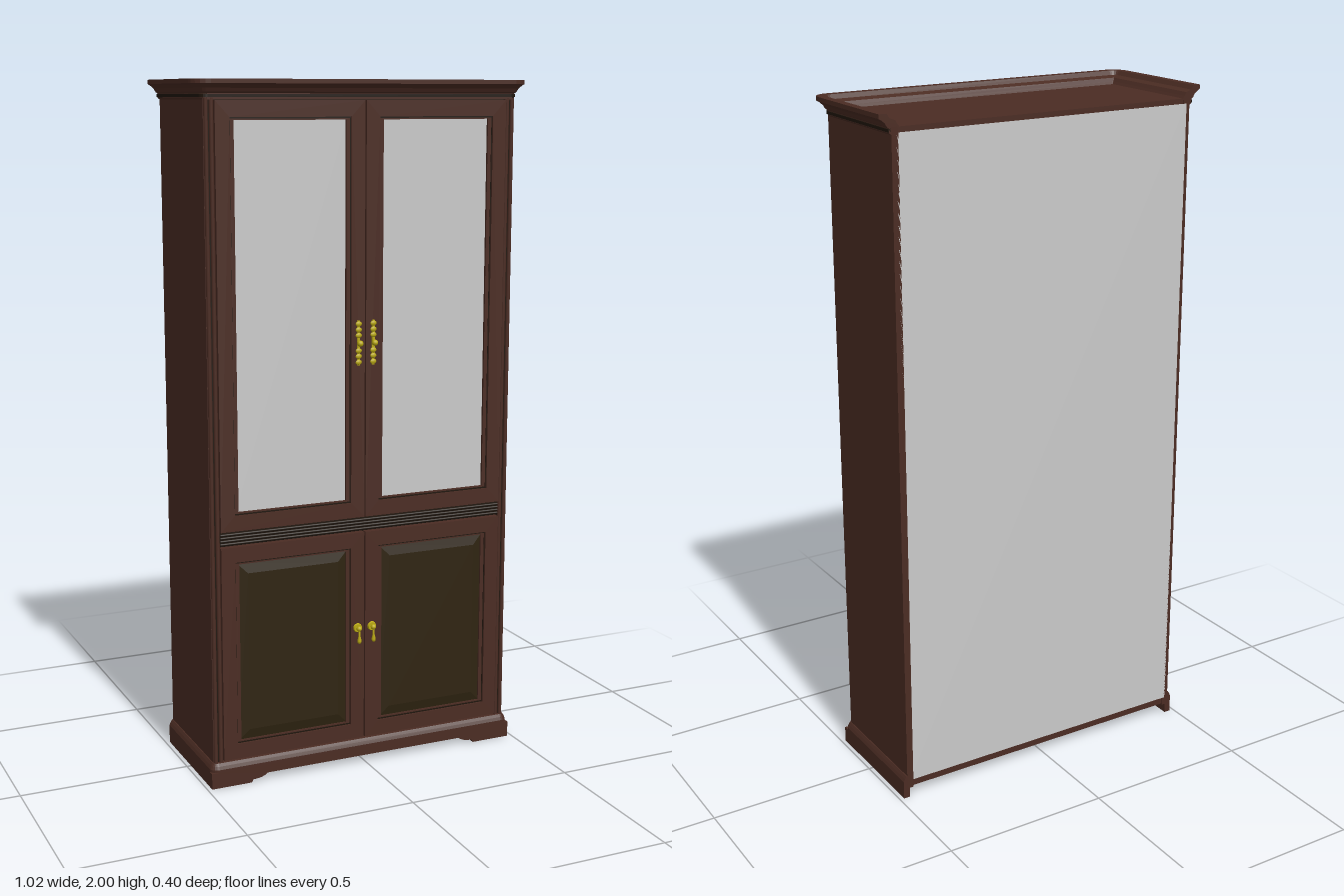
import * as THREE from 'three';

const mat = (name, color, side = THREE.FrontSide) => {
  const m = new THREE.MeshStandardMaterial({ color, side });
  m.name = name;
  return m;
};

export function createModel() {
  const wood = mat('wood', 0x4b2c23);
  const darkWood = mat('darkWood', 0x1f150c);
  const olive = mat('olivePanel', 0x2f2411);
  const glass = mat('paleGlass', 0xcacaca);
  const gold = mat('brass', 0xb9a912);

  const root = new THREE.Group();
  root.name = 'cabinet';

  const add = (parent, name, geo, material, x = 0, y = 0, z = 0) => {
    const m = new THREE.Mesh(geo, material);
    m.name = name;
    m.position.set(x, y, z);
    parent.add(m);
    return m;
  };
  // box given by its limits on each axis
  const box = (parent, name, material, x0, x1, y0, y1, z0, z1) =>
    add(parent, name, new THREE.BoxGeometry(x1 - x0, y1 - y0, z1 - z0), material,
      (x0 + x1) / 2, (y0 + y1) / 2, (z0 + z1) / 2);

  // rectangular frame with an opening, front face at z = depth
  const frame = (x0, x1, y0, y1, bx, by, depth) => {
    const s = new THREE.Shape();
    s.moveTo(x0, y0).lineTo(x1, y0).lineTo(x1, y1).lineTo(x0, y1).closePath();
    const h = new THREE.Path();
    h.moveTo(x0 + bx, y0 + by).lineTo(x0 + bx, y1 - by)
      .lineTo(x1 - bx, y1 - by).lineTo(x1 - bx, y0 + by).closePath();
    s.holes.push(h);
    return new THREE.ExtrudeGeometry(s, { depth, bevelEnabled: false });
  };

  // moulding: a closed profile [offset, y] run round the left, front and right
  const moulding = (profile, halfW, front, back, radius) => {
    const loops = profile.map(([o, y]) => {
      const r = Math.max(radius + o, 0.002);
      const x = halfW + o, z = front + o, pts = [[-x, y, back]];
      for (const side of [-1, 1]) {
        for (let k = 0; k <= 5; k++) {
          const a = (side < 0 ? k : 5 - k) / 5 * Math.PI / 2;
          pts.push([side * (x - r + r * Math.cos(a)), y, z - r + r * Math.sin(a)]);
        }
      }
      pts.push([x, y, back]);
      return pts;
    });
    const pos = [], n = profile.length, last = loops[0].length - 1;
    const tri = (a, b, c) => pos.push(...a, ...b, ...c);
    for (let j = 0; j < n; j++) {
      const lo = loops[j], hi = loops[(j + 1) % n];
      for (let i = 0; i < last; i++) {
        tri(lo[i], lo[i + 1], hi[i + 1]);
        tri(lo[i], hi[i + 1], hi[i]);
      }
    }
    const flat = profile.map(([o, y]) => new THREE.Vector2(o, y));
    for (const [a, b, c] of THREE.ShapeUtils.triangulateShape(flat, [])) {
      tri(loops[a][0], loops[b][0], loops[c][0]);
      tri(loops[a][last], loops[c][last], loops[b][last]);
    }
    const g = new THREE.BufferGeometry();
    g.setAttribute('position', new THREE.Float32BufferAttribute(pos, 3));
    g.computeVertexNormals();
    return g;
  };

  // carcass
  for (const s of [-1, 1]) {
    const side = box(root, s > 0 ? 'leftSide' : 'rightSide', wood, 0.455, 0.475, 0.03, 1.965, -0.2, 0.165);
    side.position.x *= s;
  }
  box(root, 'topPanel', wood, -0.474, 0.474, 1.945, 1.965, -0.199, 0.165);
  box(root, 'bottomPanel', wood, -0.474, 0.474, 0.035, 0.055, -0.199, 0.165);
  box(root, 'backPanel', glass, -0.465, 0.465, 0.055, 1.95, -0.2, -0.195);
  box(root, 'doorBacking', darkWood, -0.456, 0.456, 0.055, 1.95, 0.145, 0.155);
  box(root, 'topRail', wood, -0.465, 0.465, 1.945, 1.962, 0.15, 0.172);

  // corner posts with dark grooves and round beads
  for (const s of [-1, 1]) {
    const post = new THREE.Group();
    post.name = s > 0 ? 'leftPost' : 'rightPost';
    root.add(post);
    box(post, 'postCore', darkWood, s * 0.46 - 0.013, s * 0.46 + 0.013, 0.07, 1.95, 0.15, 0.166);
    for (const x of [0.4525, 0.468]) {
      add(post, 'postBead', new THREE.CylinderGeometry(0.006, 0.006, 1.88, 12), wood, s * x, 1.01, 0.167);
    }
  }

  // crown moulding
  add(root, 'crown', moulding([
    [0, 1.945], [0.006, 1.95], [0.006, 1.962], [0.012, 1.966], [0.018, 1.976],
    [0.029, 1.985], [0.035, 1.988], [0.035, 2], [0.012, 2], [0.004, 1.988],
    [-0.012, 1.982], [-0.018, 1.972], [-0.024, 1.964],
  ], 0.475, 0.165, -0.2, 0.012), wood);
  add(root, 'crownShadowBand', moulding([
    [0, 1.95], [0.0085, 1.952], [0.0085, 1.96], [0, 1.962],
  ], 0.475, 0.165, -0.2, 0.012), darkWood);

  // plinth: upper moulding, side skirts and a front apron with bracket feet
  add(root, 'plinthMoulding', moulding([
    [-0.015, 0.045], [0.012, 0.045], [0.012, 0.055], [0.008, 0.064], [0.003, 0.072], [-0.015, 0.072],
  ], 0.475, 0.174, -0.2, 0.012), wood);
  for (const s of [-1, 1]) {
    const skirt = box(root, 'sideSkirt', wood, 0.467, 0.487, 0, 0.047, -0.2, 0.175);
    skirt.position.x *= s;
  }
  const apron = new THREE.Shape();
  apron.moveTo(-0.487, 0).lineTo(-0.365, 0).lineTo(-0.36, 0.009)
    .quadraticCurveTo(-0.33, 0.009, -0.315, 0.022).lineTo(0.315, 0.022)
    .quadraticCurveTo(0.33, 0.009, 0.36, 0.009).lineTo(0.365, 0).lineTo(0.487, 0)
    .lineTo(0.487, 0.047).lineTo(-0.487, 0.047).closePath();
  add(root, 'frontApron', new THREE.ExtrudeGeometry(apron, { depth: 0.02, bevelEnabled: false }), wood, 0, 0, 0.166);

  // reeded rail between the upper and lower doors
  box(root, 'middleRail', darkWood, -0.446, 0.446, 0.712, 0.752, 0.15, 0.166);
  for (let i = 0; i < 4; i++) {
    const reed = add(root, 'railReed', new THREE.CylinderGeometry(0.004, 0.004, 0.89, 10), darkWood, 0, 0.718 + i * 0.009, 0.167);
    reed.rotation.z = Math.PI / 2;
  }

  // doors
  const door = (name, s, y0, y1, filling) => {
    const g = new THREE.Group();
    g.name = name;
    root.add(g);
    const x0 = s > 0 ? 0.002 : -0.445, x1 = s > 0 ? 0.445 : -0.002;
    const c = (x0 + x1) / 2, w = 0.172, by = 0.045;
    add(g, 'doorFrame', frame(x0, x1, y0, y1, 0.042, by, 0.02), wood, 0, 0, 0.155);
    add(g, 'innerBead', frame(c - w - 0.01, c + w + 0.01, y0 + by - 0.002, y1 - by + 0.002, 0.016, 0.01, 0.014), wood, 0, 0, 0.155);
    add(g, 'beadLine', frame(c - w - 0.009, c + w + 0.009, y0 + by, y1 - by, 0.004, 0.004, 0.0148), darkWood, 0, 0, 0.155);
    filling(g, c, w, y0 + by + 0.005, y1 - by - 0.005);
  };
  const glassPane = (g, c, w, y0, y1) =>
    box(g, 'glassPane', glass, c - w, c + w, y0, y1, 0.156, 0.162);
  const raisedPanel = (g, c, w, y0, y1) => {
    const b = 0.032, s = new THREE.Shape();
    const x0 = c - w + b, x1 = c + w - b;
    s.moveTo(x0, y0 + b).lineTo(x1, y0 + b).lineTo(x1, y1 - b).lineTo(x0, y1 - b).closePath();
    add(g, 'raisedPanel', new THREE.ExtrudeGeometry(s, {
      depth: 0.002, bevelSize: b, bevelThickness: 0.007, bevelSegments: 1,
    }), olive, 0, 0, 0.161);
  };
  for (const s of [-1, 1]) {
    const label = s > 0 ? 'left' : 'right';
    door(label + 'GlassDoor', s, 0.755, 1.944, glassPane);
    door(label + 'LowerDoor', s, 0.076, 0.709, raisedPanel);

    // long upper handle: pierced plate, lobes and knob
    const up = new THREE.Group();
    up.name = label + 'UpperHandle';
    up.position.set(s * 0.023, 1.267, 0.175);
    root.add(up);
    box(up, 'plate', gold, -0.004, 0.004, -0.064, 0.064, 0, 0.005);
    for (const y of [-0.055, -0.038, -0.022, 0.022, 0.038, 0.055]) {
      const lobe = add(up, 'plateLobe', new THREE.SphereGeometry(0.01, 10, 6), gold, 0, y, 0.004);
      lobe.scale.set(1, 0.75, 0.4);
    }
    add(up, 'knob', new THREE.SphereGeometry(0.009, 12, 8), gold, 0, 0, 0.015);

    // lower drop pull: rosette, knob and hanging drop
    const low = new THREE.Group();
    low.name = label + 'LowerHandle';
    low.position.set(s * 0.023, 0.42, 0.175);
    root.add(low);
    const rosette = add(low, 'rosette', new THREE.CylinderGeometry(0.012, 0.014, 0.005, 14), gold, 0, 0, 0.0025);
    rosette.rotation.x = Math.PI / 2;
    add(low, 'knob', new THREE.SphereGeometry(0.008, 12, 8), gold, 0, 0, 0.012);
    const drop = [[0, -0.046], [0.005, -0.043], [0.0065, -0.036], [0.003, -0.022], [0.003, -0.004], [0, 0]];
    add(low, 'drop', new THREE.LatheGeometry(drop.map(p => new THREE.Vector2(...p)), 10), gold, 0, 0, 0.014);
  }
  return root;
}
